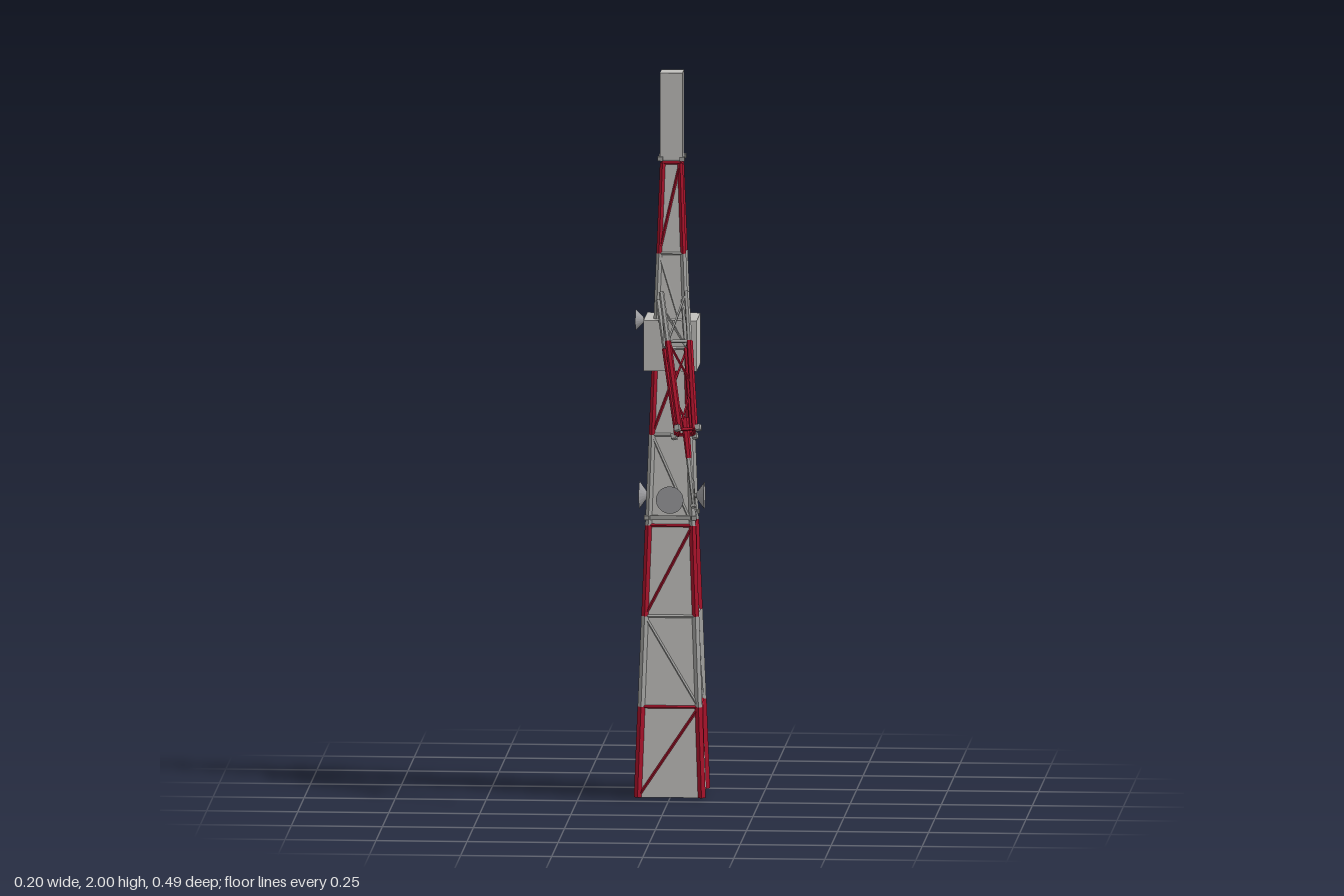
import * as THREE from 'three';

const mat = (name, color, extra = {}) => {
  const m = new THREE.MeshStandardMaterial({ color, flatShading: true, ...extra });
  m.name = name;
  return m;
};

export function createModel() {
  const panel = mat('panel grey', 0xc2c1be);
  const steel = mat('steel grey', 0xa3a3a1);
  const red = mat('signal red', 0xa8122a);
  const dishGrey = mat('dish grey', 0x9c9c9f);

  const model = new THREE.Group();
  model.name = 'latticeTower';
  const tower = new THREE.Group();
  tower.name = 'tower';
  tower.position.z = -0.148;
  model.add(tower);

  const V = (x, y, z) => new THREE.Vector3(x, y, z);
  const add = (parent, name, geo, material) => {
    const mesh = new THREE.Mesh(geo, material);
    mesh.name = name;
    parent.add(mesh);
    return mesh;
  };
  const box = (parent, name, w, h, d, x, y, z, material) => {
    const mesh = add(parent, name, new THREE.BoxGeometry(w, h, d), material);
    mesh.position.set(x, y, z);
    return mesh;
  };
  // Straight bar between two points
  const beam = (parent, name, a, b, r, material, sides = 4, rEnd = r) => {
    const mesh = add(parent, name, new THREE.CylinderGeometry(rEnd, r, a.distanceTo(b), sides), material);
    mesh.position.copy(a).add(b).multiplyScalar(0.5);
    mesh.quaternion.setFromUnitVectors(V(0, 1, 0), b.clone().sub(a).normalize());
    return mesh;
  };

  // Tapered core filling the lattice
  const half = (y) => 0.088 - 0.0366 * y;
  const core = add(tower, 'core', new THREE.CylinderGeometry(
    half(1.76) * Math.SQRT2, half(0) * Math.SQRT2, 1.76, 4), panel);
  core.rotation.y = Math.PI / 4;
  core.position.y = 0.88;

  // Seven lattice bays, alternately red and grey
  const signs = [[-1, 1], [1, 1], [1, -1], [-1, -1]];
  const corner = (i, y) => V(signs[i % 4][0] * half(y), y, signs[i % 4][1] * half(y));
  for (let bay = 0; bay < 7; bay++) {
    const y0 = bay * 0.25;
    const y1 = y0 + 0.25;
    const isRed = bay % 2 === 0;
    const m = isRed ? red : steel;
    const r = 0.0105 - 0.0005 * bay;
    for (let i = 0; i < 4; i++) {
      beam(tower, 'leg', corner(i, y0), corner(i, y1), r, m);
      beam(tower, 'crossbar', corner(i, y1), corner(i + 1, y1), 0.0045, m);
      if (isRed) beam(tower, 'diagonal', corner(i, y0), corner(i + 1, y1), 0.004, m);
      else beam(tower, 'diagonal', corner(i, y1), corner(i + 1, y0), 0.004, m);
    }
  }

  // Collars with corner plates at the joint and at the top
  const collar = (y, h, t) => {
    box(tower, 'collar', 2 * h, t, 2 * h, 0, y, 0, steel);
    for (const [sx, sz] of signs) {
      box(tower, 'cornerPlate', 0.014, t, 0.014, sx * h, y, sz * h, steel);
    }
  };
  collar(0.772, 0.065, 0.012);
  collar(1.762, 0.03, 0.012);

  // Antenna and equipment cabin
  box(tower, 'antennaHousing', 0.062, 0.24, 0.062, 0, 1.88, 0, panel);
  box(tower, 'cabin', 0.146, 0.14, 0.146, 0, 1.25, 0, panel);
  box(tower, 'warningPlate', 0.008, 0.012, 0.012, half(0.115), 0.115, -0.042, red);

  // Dishes opening outwards
  const dish = (y, angle, rimRadius, start, end) => {
    const g = new THREE.Group();
    g.name = 'dish';
    g.rotation.y = angle;
    tower.add(g);
    beam(g, 'dishCone', V(0, y, start), V(0, y, end), 0.008, dishGrey, 20, rimRadius);
    beam(g, 'dishMount', V(0, y, start - 0.03), V(0, y, start + 0.002), 0.007, steel, 8);
  };
  const q = Math.PI / 2;
  for (const a of [0, q, -q]) dish(0.825, a, 0.038, 0.068, 0.089);
  for (const a of [-q, 2 * q]) dish(1.31, a, 0.029, 0.078, 0.099);

  // Leaning boom: local frame along its axis
  const boom = new THREE.Group();
  boom.name = 'boom';
  model.add(boom);
  const top = V(0.006, 1.388, -0.08);
  const tip = V(0.087, 0.852, 0.24);
  const axis = tip.clone().sub(top).normalize();
  const side = axis.clone().cross(V(0, 1, 0)).normalize().negate();
  const out = side.clone().cross(axis).normalize();
  const trussLength = 0.405;
  const at = (s, t, u) => top.clone().addScaledVector(axis, s)
    .addScaledVector(side, t).addScaledVector(out, u);
  const boomCorner = (i, f) => at(f * trussLength,
    signs[i % 4][0] * (0.035 - 0.014 * f), signs[i % 4][1] * (0.028 - 0.008 * f));

  const stops = [0, 0.36, 0.68, 1];
  for (let k = 0; k < 3; k++) {
    const m = k ? red : steel;
    for (let i = 0; i < 4; i++) {
      const a = boomCorner(i, stops[k]);
      const b = boomCorner(i, stops[k + 1]);
      beam(boom, 'boomLeg', a, b, k ? 0.009 : 0.0075, m, 6);
      beam(boom, 'boomDiagonal', boomCorner(i + (k % 2), stops[k]),
        boomCorner(i + 1 - (k % 2), stops[k + 1]), 0.0035, m);
      if (k !== 1) {
        beam(boom, 'boomCrossbar', b, boomCorner(i + 1, stops[k + 1]), 0.005, k ? red : steel);
      }
    }
  }
  // End plates and the thin rod
  for (let i = 0; i < 4; i++) {
    const a = boomCorner(i, 1);
    const b = at(trussLength, signs[i][0] * 0.029, signs[i][1] * 0.029);
    beam(boom, 'endArm', a, b, 0.004, steel);
    beam(boom, 'endPlate', b.clone().addScaledVector(axis, -0.008),
      b.clone().addScaledVector(axis, 0.008), 0.01, steel);
  }
  const rodMid = at(trussLength + 0.08, 0, 0);
  beam(boom, 'rodUpper', at(trussLength - 0.04, 0, 0), rodMid, 0.011, red, 6, 0.008);
  beam(boom, 'rodLower', rodMid, tip, 0.008, steel, 6, 0.004);
  beam(boom, 'rodTip', tip.clone().addScaledVector(axis, -0.008), tip, 0.009, steel);

  return model;
}
